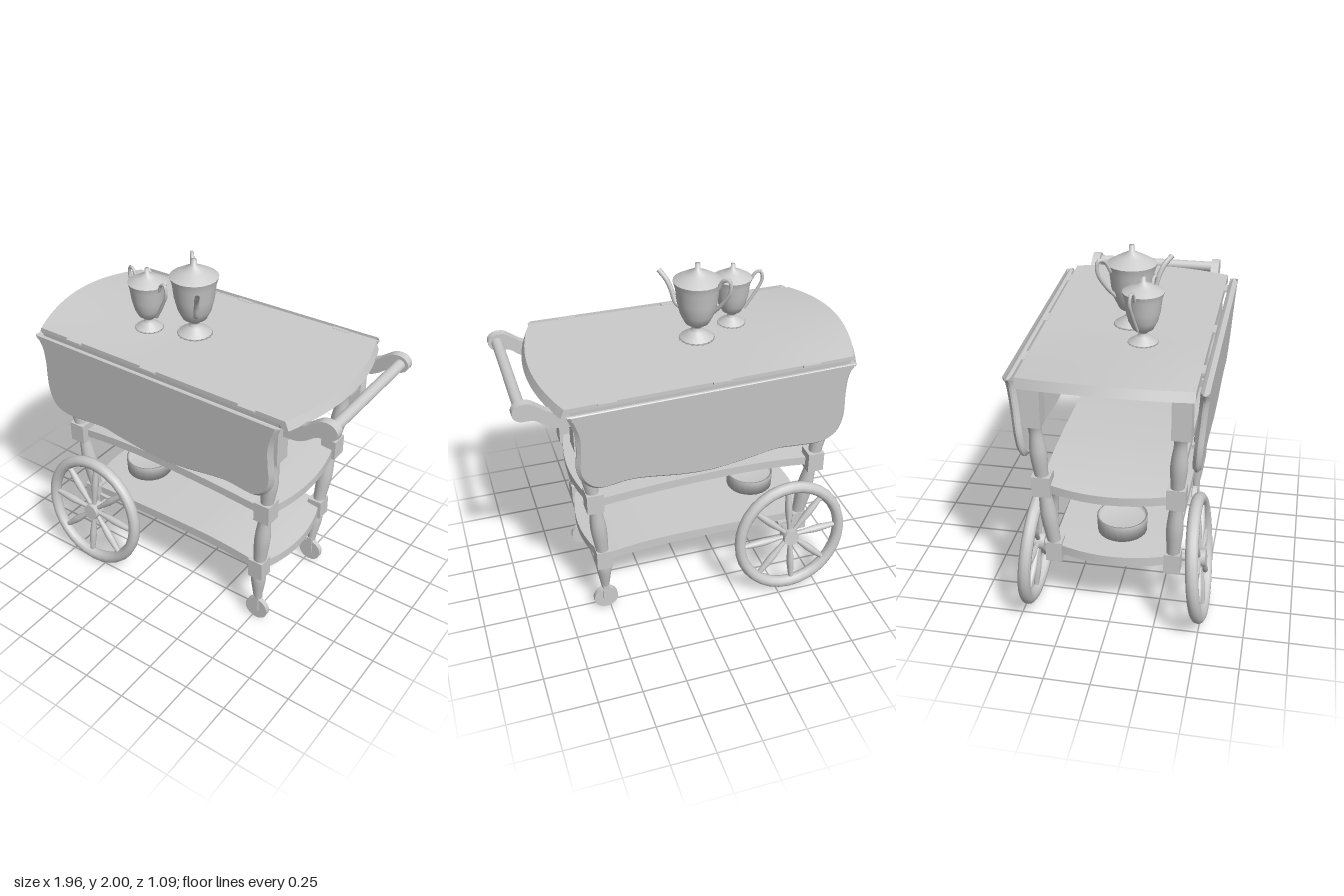
import * as THREE from 'three';

const V = (x, y, z) => new THREE.Vector3(x, y, z);
const P = (x, y) => new THREE.Vector2(x, y);
const lerp = THREE.MathUtils.lerp;

export function createModel() {
  const root = new THREE.Group();
  const mat = new THREE.MeshStandardMaterial({ color: 0xcccccc, side: THREE.DoubleSide });

  function add(name, geo, pos = V(0, 0, 0), parent = root) {
    const m = new THREE.Mesh(geo, mat);
    m.name = name;
    m.position.copy(pos);
    parent.add(m);
    return m;
  }

  // Group whose local y axis runs from a to b
  function along(name, a, b) {
    const g = new THREE.Group();
    g.name = name;
    g.position.copy(a);
    g.quaternion.setFromUnitVectors(V(0, 1, 0), b.clone().sub(a).normalize());
    root.add(g);
    return g;
  }

  // Board with bowed ends, a curved surface and an optional bevel on the ends
  function board(name, o) {
    const geo = new THREE.BoxGeometry(1, 1, 1, 24, 1, 16);
    const p = geo.attributes.position;
    for (let i = 0; i < p.count; i++) {
      const u = p.getX(i) + 0.5, v = p.getZ(i) * 2, isTop = p.getY(i) > 0;
      const bow = o.bow * (1 - v * v) - (isTop ? o.bevel : 0);
      const x = lerp(o.left - bow, o.right + bow, u);
      const z = lerp(lerp(o.backL, o.backR, u), o.front, (v + 1) / 2);
      p.setXYZ(i, x, o.height(x, v) - (isTop ? 0 : o.thick), z);
    }
    geo.computeVertexNormals();
    return add(name, geo);
  }

  // Table top, rising slightly towards its left-hand end
  board('tableTop', {
    left: -0.89, right: 0.75, front: 0.46, backL: -0.43, backR: -0.485, bow: 0.09, bevel: 0.02, thick: 0.05,
    height: (x, v) => 1.55 + Math.max(0, -0.25 - x) * 0.05 * (1 - v * v),
  });

  // Arched shelves
  const arch = (top, x0, kl, kr) => x => top - (x < x0 ? kl : kr) * (x - x0) ** 2;
  board('middleShelf', {
    left: -0.73, right: 0.585, front: 0.37, backL: -0.36, backR: -0.37, bow: 0.065, bevel: 0, thick: 0.05,
    height: arch(0.905, -0.25, 0.15, 0.06),
  });
  board('lowerShelf', {
    left: -0.68, right: 0.54, front: 0.35, backL: -0.32, backR: -0.33, bow: 0.07, bevel: 0, thick: 0.055,
    height: arch(0.472, 0.1, 0.03, 0.2),
  });

  // Drop leaves with a wavy lower edge
  const outline = new THREE.Shape();
  outline.moveTo(0.73, 0);
  outline.lineTo(-0.87, 0);
  outline.splineThru([[-0.835, -0.06], [-0.83, -0.18], [-0.84, -0.33], [-0.82, -0.43], [-0.77, -0.485],
    [-0.69, -0.505], [-0.56, -0.495], [-0.44, -0.487], [-0.3, -0.51], [-0.08, -0.538], [0.1, -0.53],
    [0.32, -0.495], [0.42, -0.49], [0.55, -0.505], [0.62, -0.48], [0.67, -0.42], [0.69, -0.34],
    [0.685, -0.23], [0.69, -0.12], [0.73, 0]].map(q => P(...q)));
  const leafGeo = new THREE.ExtrudeGeometry(outline, {
    depth: 0.01, bevelThickness: 0.018, bevelSize: 0.02, bevelOffset: -0.02, bevelSegments: 1, curveSegments: 48,
  });
  leafGeo.translate(0, 0, -0.005);
  add('frontLeaf', leafGeo, V(0, 1.53, 0.5)).rotation.x = 0.075;
  const back = add('backLeaf', leafGeo, V(0, 1.53, -0.5));
  back.rotation.set(-0.09, 0.034, 0, 'YXZ');

  // Hinges
  for (const x of [-0.62, -0.11, 0.51]) {
    add('hinge', new THREE.BoxGeometry(0.1, 0.012, 0.022), V(x, 1.546, 0.467));
    add('hinge', new THREE.BoxGeometry(0.1, 0.012, 0.022), V(x, 1.546, -0.463 - 0.034 * x));
  }

  // Turned leg section between two points; profile lists [radius, fraction]
  function turned(name, a, b, profile) {
    const len = a.distanceTo(b);
    const pts = new THREE.SplineCurve(profile.map(([r, t]) => P(r, t * len))).getPoints(16);
    add(name, new THREE.LatheGeometry(pts, 14), undefined, along(name, a, b));
  }
  const vase = [[0.045, 0], [0.036, 0.1], [0.046, 0.5], [0.034, 0.85], [0.042, 1]];

  for (const end of [1, -1]) for (const side of [1, -1]) {
    const x = end > 0 ? [0.63, 0.58, 0.535, 0.525] : [-0.77, -0.72, -0.665, -0.64];
    const z = side > 0 ? [0.388, 0.362, 0.34, 0.328] : [-0.375, -0.355, -0.315, -0.285];
    const top = V(x[0], 1.25, z[0] - side * 0.005), mid = V(x[1], 0.86, z[1]), low = V(x[2], 0.41, z[2]);
    add('legTop', new THREE.BoxGeometry(0.1, 0.26, 0.1), V(x[0], 1.375, z[0]));
    add('legMiddleBlock', new THREE.BoxGeometry(0.095, 0.12, 0.1), mid);
    add('legLowerBlock', new THREE.BoxGeometry(0.09, 0.12, 0.09), low);
    turned('upperLeg', mid, top, vase);
    turned('middleLeg', low, mid, vase);
    if (end > 0) {
      // Lower leg with its caster
      turned('lowerLeg', V(x[3], 0.15, z[3]), low, [[0.022, 0], [0.028, 0.15], [0.044, 0.65], [0.036, 1]]);
      add('casterWheel', new THREE.CylinderGeometry(0.072, 0.072, 0.03, 20).rotateX(Math.PI / 2),
        V(x[3], 0.072, z[3]));
      for (const s of [1, -1])
        add('casterFork', new THREE.BoxGeometry(0.035, 0.11, 0.01), V(x[3], 0.115, z[3] + s * 0.021));
      add('casterCap', new THREE.BoxGeometry(0.035, 0.02, 0.052), V(x[3], 0.165, z[3]));
    } else {
      // Axle stub to the large wheel
      add('axleBracket', new THREE.BoxGeometry(0.14, 0.06, 0.06), V(-0.61, 0.38, z[2]));
    }
  }

  // End rail beneath the top
  add('endRail', new THREE.BoxGeometry(0.03, 0.21, 0.7), V(0.63, 1.4, 0.005));

  // Large spoked wheels, leaning in at the top
  for (const side of [1, -1]) {
    const w = new THREE.Group();
    w.name = side > 0 ? 'frontWheel' : 'backWheel';
    w.position.set(-0.575, 0.38, side > 0 ? 0.477 : -0.435);
    w.rotation.x = -side * 0.085;
    w.scale.x = 0.94;
    root.add(w);
    add('rim', new THREE.TorusGeometry(0.334, 0.035, 10, 32), undefined, w);
    add('hub', new THREE.CylinderGeometry(0.05, 0.05, 0.075, 16).rotateX(Math.PI / 2), undefined, w);
    add('axle', new THREE.CylinderGeometry(0.022, 0.022, 0.16, 12).rotateX(Math.PI / 2), V(0, 0, -side * 0.08), w);
    const spoke = new THREE.LatheGeometry(
      [P(0.013, 0.03), P(0.014, 0.08), P(0.023, 0.17), P(0.022, 0.22), P(0.014, 0.32)], 10);
    for (let i = 0; i < 8; i++) add('spoke', spoke, undefined, w).rotation.z = i * Math.PI / 4 - 0.06;
  }

  // Push handle: two curved arms and a rod
  const arm = new THREE.Shape();
  arm.moveTo(0.64, 1.5);
  arm.lineTo(0.64, 1.4);
  arm.splineThru([[0.75, 1.405], [0.81, 1.43], [0.87, 1.472], [0.94, 1.478], [0.975, 1.505], [0.975, 1.545],
    [0.94, 1.573], [0.89, 1.573], [0.85, 1.55], [0.81, 1.52], [0.77, 1.5]].map(q => P(...q)));
  arm.closePath();
  const armGeo = new THREE.ExtrudeGeometry(arm, { depth: 0.048, bevelEnabled: false, curveSegments: 30 });
  for (const z of [0.342, -0.418]) add('handleArm', armGeo, V(0, 0, z));
  add('handleRod', new THREE.CylinderGeometry(0.031, 0.031, 0.73, 16).rotateX(Math.PI / 2), V(0.93, 1.525, -0.013));

  // Dish on the lower shelf
  add('dish', new THREE.LatheGeometry([P(0, 0), P(0.138, 0), P(0.142, 0.09), P(0.132, 0.09), P(0.128, 0.065),
    P(0, 0.065)], 24), V(-0.49, 0.465, 0.03));

  // Lidded urn, scaled from unit proportions
  function urn(name, pos, yaw, r, h) {
    const g = new THREE.Group();
    g.name = name;
    g.position.copy(pos);
    g.rotation.y = yaw;
    root.add(g);
    const body = [[0, 0], [0.75, 0], [0.7, 0.02], [0.3, 0.1], [0.2, 0.14], [0.24, 0.17], [0.5, 0.22], [0.7, 0.34],
      [0.83, 0.5], [0.9, 0.68], [0.98, 0.76], [1, 0.78]];
    const lid = [[1, 0.78], [0.55, 0.86], [0.12, 0.925], [0.11, 1], [0, 1]];
    add('urnBody', new THREE.LatheGeometry(body.map(([a, b]) => P(a * r, b * h)), 20), undefined, g);
    add('urnLid', new THREE.LatheGeometry(lid.map(([a, b]) => P(a * r, b * h)), 20), undefined, g);
    return g;
  }
  function tube(name, pts, radius, parent) {
    const curve = new THREE.CatmullRomCurve3(pts.map(([x, y]) => V(x, y, 0)));
    add(name, new THREE.TubeGeometry(curve, 20, radius, 8), undefined, parent);
  }

  // Large urn has a handle and a spout, the small one has two handles
  const big = urn('largeUrn', V(-0.13, 1.555, 0.018), -0.88, 0.135, 0.445);
  tube('urnHandle', [[-0.125, 0.32], [-0.165, 0.385], [-0.2, 0.39], [-0.205, 0.33], [-0.16, 0.25], [-0.1, 0.18]],
    0.011, big);
  tube('urnSpout', [[0.09, 0.15], [0.14, 0.18], [0.17, 0.25], [0.2, 0.3], [0.25, 0.345]], 0.014, big);
  const small = urn('smallUrn', V(-0.37, 1.56, 0.12), -0.26, 0.11, 0.36);
  for (const s of [1, -1])
    tube('urnHandle', [[0.1, 0.26], [0.125, 0.305], [0.15, 0.315], [0.165, 0.27], [0.125, 0.18], [0.07, 0.09]]
      .map(([x, y]) => [s * x, y]), 0.009, small);

  return root;
}
